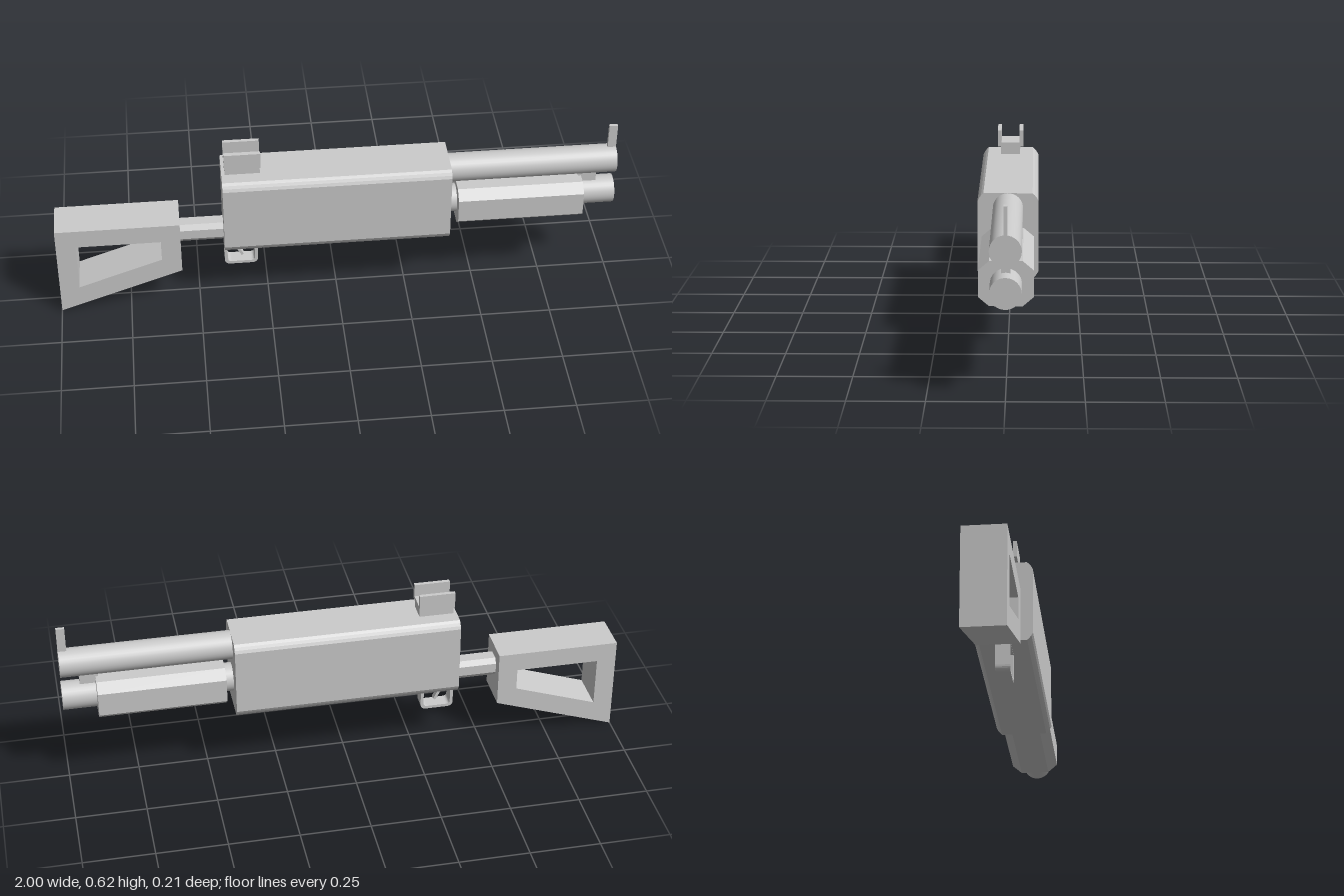
import * as THREE from 'three';

const material = new THREE.MeshStandardMaterial({ color: 0xcccccc });

function addMesh(group, name, geometry) {
  const mesh = new THREE.Mesh(geometry, material);
  mesh.name = name;
  group.add(mesh);
  return mesh;
}

function polygon(points) {
  return new THREE.Shape(points.map(([x, y]) => new THREE.Vector2(x, y)));
}

// Side silhouette in x/y, extruded evenly about z = 0
function sidePlate(shape, width) {
  const geometry = new THREE.ExtrudeGeometry(shape, { depth: width, bevelEnabled: false, curveSegments: 6 });
  return geometry.translate(0, 0, -width / 2);
}

// End section in z/y, extruded along x
function alongX(shape, x0, x1) {
  const geometry = new THREE.ExtrudeGeometry(shape, { depth: x1 - x0, bevelEnabled: false, curveSegments: 3 });
  return geometry.rotateY(Math.PI / 2).translate(x0, 0, 0);
}

// Rectangle with cut corners; bulge pushes the corners out into a slight curve
function cutCornerSection(w, y0, y1, cx, cy, bulge = 0) {
  const shape = new THREE.Shape();
  const corner = (sx, y, sy, fromSide) => {
    const side = [sx * w, y - sy * cy];
    const end = [sx * (w - cx), y];
    const [a, b] = fromSide ? [side, end] : [end, side];
    shape.lineTo(...a);
    if (bulge) {
      const mx = sx * (w - cx / 2 + bulge);
      const my = y - sy * (cy / 2 - bulge);
      shape.quadraticCurveTo(mx, my, ...b);
    } else shape.lineTo(...b);
  };
  shape.moveTo(w, y0 + cy);
  corner(1, y1, 1, true);
  corner(-1, y1, 1, false);
  corner(-1, y0, -1, true);
  corner(1, y0, -1, false);
  return shape;
}

function box(x0, x1, y0, y1, z0, z1) {
  return new THREE.BoxGeometry(x1 - x0, y1 - y0, z1 - z0)
    .translate((x0 + x1) / 2, (y0 + y1) / 2, (z0 + z1) / 2);
}

function tube(x0, x1, y, radius) {
  return new THREE.CylinderGeometry(radius, radius, x1 - x0, 32)
    .rotateZ(-Math.PI / 2).translate((x0 + x1) / 2, y, 0);
}

function roundedBottom(path, x0, x1, y0, y1, r) {
  path.moveTo(x0, y1);
  path.lineTo(x0, y0 + r);
  path.quadraticCurveTo(x0, y0, x0 + r, y0);
  path.lineTo(x1 - r, y0);
  path.quadraticCurveTo(x1, y0, x1, y0 + r);
  path.lineTo(x1, y1);
  path.closePath();
  return path;
}

export function createModel() {
  const model = new THREE.Group();
  model.name = 'longGun';

  // Main body
  addMesh(model, 'receiver', alongX(cutCornerSection(0.103, 0.238, 0.535, 0.02, 0.027, 0.003), -0.405, 0.4));

  // Barrel, lower tube and the lug between them
  addMesh(model, 'barrel', tube(0.39, 1, 0.484, 0.051));
  addMesh(model, 'magazineTube', tube(0.39, 1, 0.349, 0.051));
  addMesh(model, 'barrelLug', box(0.87, 0.935, 0.39, 0.437, -0.015, 0.015));

  // Sliding grip around the lower tube
  addMesh(model, 'foreGrip', alongX(cutCornerSection(0.088, 0.276, 0.423, 0.035, 0.03), 0.43, 0.88));

  // Shoulder stock with open centre
  const stock = polygon([[-1, 0], [-0.56, 0.15], [-0.56, 0.355], [-1, 0.355]]);
  stock.holes.push(polygon([[-0.93, 0.102], [-0.93, 0.285], [-0.63, 0.285], [-0.63, 0.205]]));
  addMesh(model, 'stock', sidePlate(stock, 0.148));
  addMesh(model, 'stockNeck', alongX(cutCornerSection(0.035, 0.243, 0.315, 0.014, 0.018), -0.57, -0.4));

  // Trigger guard loop
  const guard = roundedBottom(new THREE.Shape(), -0.405, -0.285, 0.128, 0.242, 0.022);
  guard.holes.push(roundedBottom(new THREE.Path(), -0.394, -0.296, 0.139, 0.236, 0.014));
  addMesh(model, 'triggerGuard', sidePlate(guard, 0.052));

  // Curved trigger
  const trigger = new THREE.Shape();
  trigger.moveTo(-0.377, 0.242);
  trigger.quadraticCurveTo(-0.369, 0.192, -0.343, 0.152);
  trigger.lineTo(-0.335, 0.157);
  trigger.quadraticCurveTo(-0.358, 0.195, -0.365, 0.242);
  addMesh(model, 'trigger', sidePlate(trigger, 0.02));

  // Rear sight: block with a channel on top
  const rearSight = new THREE.Group();
  rearSight.name = 'rearSight';
  addMesh(rearSight, 'rearSightBase', box(-0.393, -0.27, 0.53, 0.567, -0.035, 0.035));
  const channel = polygon([
    [-0.047, 0.565], [0.047, 0.565], [0.047, 0.625], [0.033, 0.625],
    [0.033, 0.579], [-0.033, 0.579], [-0.033, 0.625], [-0.047, 0.625],
  ]);
  addMesh(rearSight, 'rearSightChannel', alongX(channel, -0.395, -0.267));
  model.add(rearSight);

  // Front sight blade
  addMesh(model, 'frontSight', box(0.97, 1, 0.53, 0.625, -0.006, 0.006));

  return model;
}
